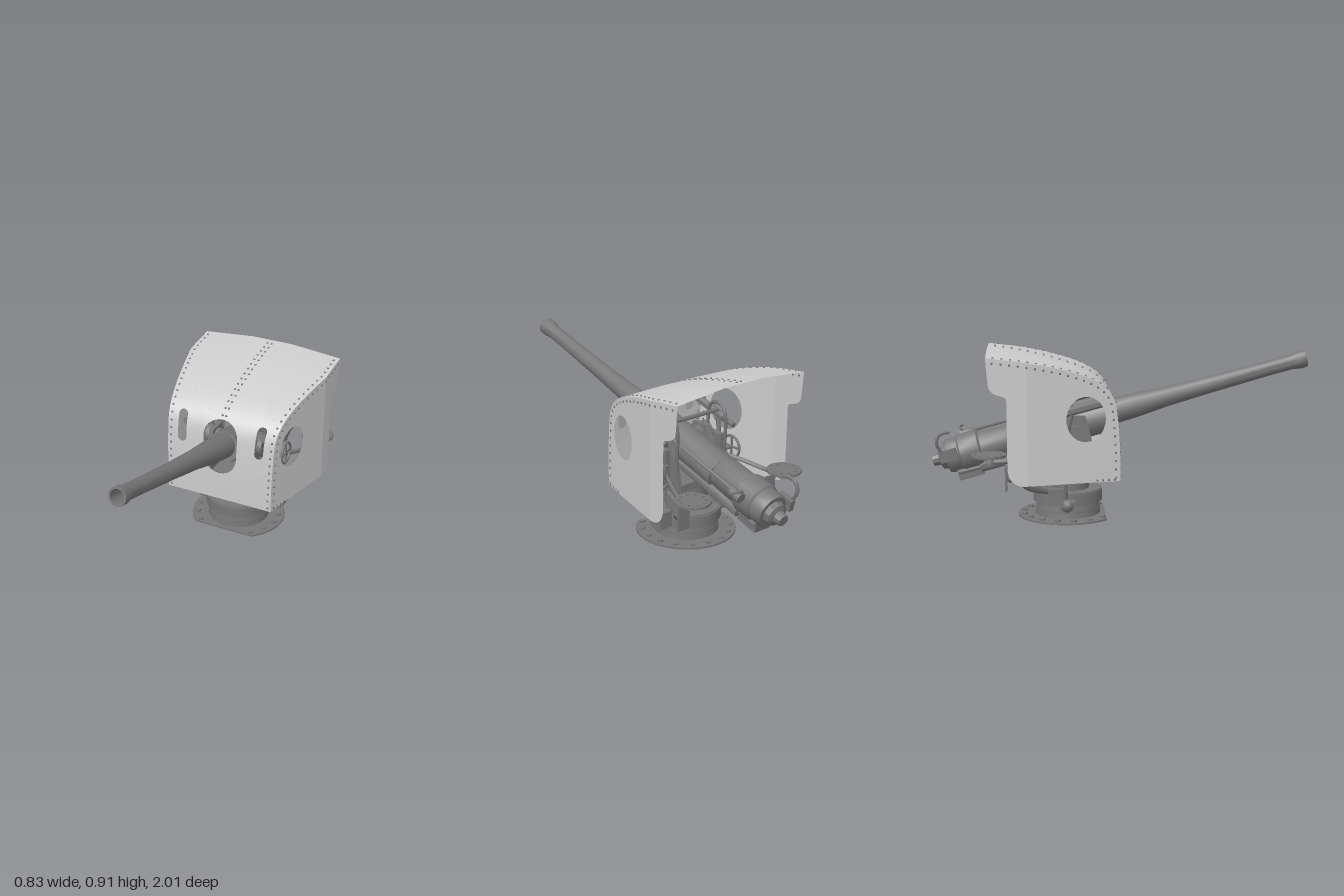
import * as THREE from 'three';
import { mergeGeometries, mergeVertices, toCreasedNormals } from 'three/addons/utils/BufferGeometryUtils.js';

const V = (x, y, z) => new THREE.Vector3(x, y, z);
const plate = new THREE.MeshStandardMaterial({ color: 0xcccccc, side: THREE.DoubleSide });
const metal = new THREE.MeshStandardMaterial({ color: 0x777777, side: THREE.DoubleSide });

function add(group, name, geo, x = 0, y = 0, z = 0, mat = metal) {
  const m = new THREE.Mesh(geo, mat);
  m.name = name;
  m.position.set(x, y, z);
  group.add(m);
  return m;
}
const box = (w, h, d) => new THREE.BoxGeometry(w, h, d);
const cyl = (r, h, n = 12, r2 = r) => toCreasedNormals(new THREE.CylinderGeometry(r, r2, h, n), 0.8);
const cylZ = (r, h, n) => cyl(r, h, n).rotateX(Math.PI / 2);
const cylX = (r, h, n) => cyl(r, h, n).rotateZ(Math.PI / 2);
const pipe = (pts, r, n = 6) => new THREE.TubeGeometry(
  new THREE.CatmullRomCurve3(pts.map(p => V(...p)), false, 'centripetal'), 20, r, n);
// Profile given as [z, y], extruded across x and centred
function profileX(pts, width) {
  const s = new THREE.Shape(pts.map(p => new THREE.Vector2(...p)));
  return new THREE.ExtrudeGeometry(s, { depth: width, bevelEnabled: false })
    .translate(0, 0, -width / 2).rotateY(-Math.PI / 2);
}
// Turned part along z, points as [radius, z]
const turned = (pts, n = 14) => toCreasedNormals(
  new THREE.LatheGeometry(pts.map(p => new THREE.Vector2(...p)), n).rotateX(Math.PI / 2), 0.6);

// Shield form: a side profile swept over a plan that widens to the rear
const profile = new THREE.CatmullRomCurve3([
  [0.24, -0.03], [0.42, -0.033], [0.58, -0.045], [0.66, -0.06], [0.72, -0.10],
  [0.78, -0.19], [0.835, -0.34], [0.88, -0.52], [0.91, -0.70]].map(([y, z]) => V(0, y, z)));
const sweep = profile.getLength(), BOTTOM = 0.24, TOP = BOTTOM + sweep;
const halfWidth = z => Math.min(0.41, 0.31 + 0.1 * (-z - 0.03) / 0.47);
function shieldPoint(x, v) {
  const p = profile.getPointAt(THREE.MathUtils.clamp((v - BOTTOM) / sweep, 0, 1));
  p.x = x * halfWidth(p.z) / 0.31;
  p.y += 0.027 * p.z / 0.7 * Math.max(0, (Math.abs(p.x) - 0.12) / 0.29);
  return p;
}

// Curved front and roof, made of columns that stop at the capsule-shaped openings
function frontPlate() {
  const holes = [[0, 0.098, 0.40, 0.71], [-0.225, 0.025, 0.54, 0.72], [0.225, 0.025, 0.54, 0.72]];
  const cols = [-0.31, -0.28, -0.15, 0.15, 0.28, 0.31];
  for (const [cx, hw] of holes)
    for (let k = 0; k <= 12; k++) cols.push(cx + hw * Math.cos(k * Math.PI / 12));
  cols.sort((a, b) => a - b);
  const pos = [];
  const strip = (xa, xb, a0, a1, b0, b1, n) => {
    for (let i = 0; i < n; i++) {
      const L = THREE.MathUtils.lerp;
      const a = shieldPoint(xa, L(a0, a1, i / n)), b = shieldPoint(xb, L(b0, b1, i / n));
      const c = shieldPoint(xb, L(b0, b1, (i + 1) / n)), d = shieldPoint(xa, L(a0, a1, (i + 1) / n));
      for (const p of [a, b, c, a, c, d]) pos.push(p.x, p.y, p.z);
    }
  };
  for (let i = 0; i < cols.length - 1; i++) {
    const xa = cols[i], xb = cols[i + 1], mid = (xa + xb) / 2;
    if (xb - xa < 1e-6) continue;
    const hole = holes.find(h => Math.abs(mid - h[0]) < h[1]);
    const gap = x => {
      if (!hole) return [0.55, 0.55];
      const [cx, hw, v0, v1] = hole, h = Math.sqrt(Math.max(0, hw * hw - (x - cx) ** 2));
      return [v0 + hw - h, v1 - hw + h];
    };
    const [al, ah] = gap(xa), [bl, bh] = gap(xb);
    strip(xa, xb, BOTTOM, al, BOTTOM, bl, 4);
    strip(xa, xb, ah, TOP, bh, TOP, 24);
  }
  let g = new THREE.BufferGeometry();
  g.setAttribute('position', new THREE.Float32BufferAttribute(pos, 3));
  g = mergeVertices(g, 1e-5);
  g.computeVertexNormals();
  return g;
}

// Side plate: a flat forward part with a round opening and a flat rear part
function sidePlate(side) {
  const edge = [];
  for (let i = 0; i <= 48; i++) edge.push(shieldPoint(0.31, BOTTOM + sweep * i / 48));
  const fore = edge.filter(p => p.z > -0.5), aft = edge.filter(p => p.z <= -0.5);
  const joinY = (fore.at(-1).y + aft[0].y) / 2;
  const a = new THREE.Shape(fore.map(p => new THREE.Vector2(p.z, p.y)));
  a.lineTo(-0.5, joinY); a.lineTo(-0.5, BOTTOM); a.closePath();
  a.holes.push(new THREE.Path().absellipse(-0.205, 0.565, 0.1, 0.115, 0, Math.PI * 2));
  const b = new THREE.Shape().moveTo(-0.5, joinY).lineTo(-0.5, BOTTOM).lineTo(-0.525, BOTTOM);
  b.quadraticCurveTo(-0.595, 0.25, -0.6, 0.33).lineTo(-0.6, 0.67);
  b.bezierCurveTo(-0.6, 0.71, -0.69, 0.68, -0.69, 0.76).lineTo(-0.70, aft.at(-1).y);
  aft.reverse().slice(1).forEach(p => b.lineTo(p.z, p.y));
  const parts = [a, b].map(s => {
    const g = new THREE.ShapeGeometry(s, 16), p = g.attributes.position;
    for (let i = 0; i < p.count; i++) p.setXYZ(i, side * halfWidth(p.getX(i)), p.getY(i), p.getX(i));
    if (side > 0) g.index.array.reverse();
    g.computeVertexNormals();
    return g;
  });
  return mergeGeometries(parts);
}

// Rivet rows along the corner seams, the roof seam and the lower side edge
function rivets() {
  const at = [];
  for (let v = 0.26; v < TOP; v += 0.043) for (const s of [-1, 1]) {
    at.push(shieldPoint(s * 0.292, v));
    const t = profile.getTangentAt((v - BOTTOM) / sweep), p = shieldPoint(0.31, v);
    const z = p.z - 0.022 * t.y;
    at.push(V(s * halfWidth(z), p.y + 0.022 * t.z, z));
    if (v > 0.73) at.push(shieldPoint(s * 0.010, v));
  }
  for (const s of [-1, 1]) for (let i = 0; i < 4; i++) {
    const z = -0.06 - i * 0.03;
    at.push(V(s * halfWidth(z), 0.25, z));
  }
  return mergeGeometries(at.map(p => new THREE.SphereGeometry(0.0065, 6, 4).translate(p.x, p.y, p.z)));
}

function pedestal() {
  const g = new THREE.Group(); g.name = 'pedestal'; g.position.z = -0.29;
  // Round deck plate with a straight front edge
  const cut = Math.acos(0.2 / 0.265), disc = new THREE.Shape();
  disc.absarc(0, 0, 0.265, -Math.PI / 2 + cut, Math.PI * 1.5 - cut, false);
  add(g, 'deckPlate', new THREE.ExtrudeGeometry(disc, { depth: 0.01, bevelEnabled: false, curveSegments: 20 })
    .rotateX(-Math.PI / 2));
  for (let i = 0; i < 14; i++) {
    const a = Math.PI / 2 + 0.72 + i * (2 * Math.PI - 1.44) / 13;
    add(g, 'deckBolt', cyl(0.015, 0.012, 6), 0.233 * Math.cos(a), 0.014, 0.233 * Math.sin(a));
  }
  add(g, 'base', cyl(0.165, 0.08, 24, 0.175), 0, 0.045, 0);
  add(g, 'baseRim', cyl(0.172, 0.008, 24), 0, 0.04, 0);
  add(g, 'turntable', cyl(0.185, 0.06, 24), 0, 0.11, 0);
  add(g, 'turntableRim', cyl(0.178, 0.008, 24), 0, 0.142, 0);
  add(g, 'column', cyl(0.11, 0.16, 16, 0.115), 0, 0.22, 0);
  return g;
}

function gun() {
  const g = new THREE.Group(); g.name = 'gun';
  g.position.set(0, 0.499, -0.25); g.rotation.x = -0.26;
  add(g, 'barrel', turned([[0.07, -0.36], [0.07, 0.22], [0.066, 0.34], [0.054, 0.5], [0.046, 0.75],
    [0.04, 1.1], [0.041, 1.2], [0.049, 1.25], [0.048, 1.28], [0.037, 1.28], [0.034, 1.1], [0, 1.1]]));
  add(g, 'breech', turned([[0, -0.70], [0.085, -0.70], [0.092, -0.68], [0.092, -0.63], [0.102, -0.62],
    [0.102, -0.52], [0.088, -0.51], [0.085, -0.34], [0.07, -0.3]], 16));
  add(g, 'breechScrew', turned([[0, -0.776], [0.03, -0.776], [0.035, -0.74], [0.06, -0.73], [0.065, -0.69]], 10));
  add(g, 'breechLug', box(0.1, 0.07, 0.13), 0, -0.1, -0.6);
  add(g, 'cradle', cylZ(0.092, 0.5, 12), 0, -0.01, -0.08);
  for (const s of [-1, 1]) {
    add(g, 'recoilCylinder', cylZ(0.03, 0.6, 10), s * 0.05, -0.09, -0.24);
    add(g, 'recoilRod', cylZ(0.013, 0.14, 8), s * 0.05, -0.09, -0.59);
  }
  add(g, 'breechHinge', box(0.03, 0.06, 0.09), -0.1, 0.02, -0.68);
  add(g, 'breechLever', pipe([[-0.1, 0.02, -0.7], [-0.115, 0.1, -0.72], [-0.115, 0.14, -0.69], [-0.11, 0.14, -0.64]], 0.009));
  add(g, 'trunnion', cylX(0.04, 0.34, 12), 0, 0, 0);
  // Sight bar with a rear eyepiece
  add(g, 'sightBar', cylZ(0.009, 0.5, 6), 0.15, 0.08, -0.35);
  add(g, 'sightHead', cylZ(0.026, 0.07, 8), 0.15, 0.07, -0.58);
  add(g, 'sightGrip', pipe([[0.15, 0.07, -0.58], [0.15, 0.11, -0.61], [0.22, 0.11, -0.6]], 0.006));
  return g;
}

function carriage() {
  const g = new THREE.Group(); g.name = 'carriage';
  add(g, 'saddle', box(0.26, 0.04, 0.22), 0, 0.29, -0.29);
  add(g, 'crossTube', cylX(0.012, 0.44, 8), 0, 0.61, -0.28);
  for (const s of [-1, 1]) {
    add(g, 'cheek', profileX([[-0.4, 0.26], [-0.18, 0.26], [-0.16, 0.4], [-0.2, 0.55], [-0.3, 0.55], [-0.37, 0.42]], 0.025), s * 0.13, 0, 0);
    add(g, 'bearingCap', cylX(0.055, 0.03, 12), s * 0.155, 0.5, -0.25);
    // Telescopes behind the shield slots, carried on bent posts
    const scope = add(g, 'telescope', cylZ(0.022, 0.24, 6), s * 0.225, 0.605, -0.21);
    scope.rotation.x = -0.26;
    add(g, 'eyepiece', cylZ(0.014, 0.08, 8), s * 0.225, 0.565, -0.36).rotation.x = -0.26;
    add(g, 'sightPost', pipe([[s * 0.15, 0.3, -0.3], [s * 0.2, 0.36, -0.3], [s * 0.22, 0.5, -0.29], [s * 0.225, 0.59, -0.27]], 0.012));
    add(g, 'guardRail', pipe([[s * 0.16, 0.4, -0.4], [s * 0.16, 0.64, -0.4], [s * 0.16, 0.68, -0.36],
      [s * 0.16, 0.66, -0.29], [s * 0.16, 0.46, -0.27]], 0.009));
    add(g, 'gearPanel', box(0.03, 0.17, 0.12), s * 0.185, 0.42, -0.3);
    // Handwheel on a short shaft
    add(g, 'handwheel', new THREE.TorusGeometry(0.06, 0.007, 6, 20).rotateY(Math.PI / 2), s * 0.25, 0.42, -0.36);
    add(g, 'handwheelShaft', cylX(0.01, 0.07, 8), s * 0.22, 0.42, -0.36);
    add(g, 'handwheelSpoke', box(0.008, 0.12, 0.01), s * 0.25, 0.42, -0.36);
    add(g, 'handwheelSpoke', box(0.008, 0.01, 0.12), s * 0.25, 0.42, -0.36);
    // Curved step bracket with its foot plate
    add(g, 'stepArm', pipe([[s * 0.12, 0.16, -0.32], [s * 0.16, 0.165, -0.42], [s * 0.23, 0.20, -0.50],
      [s * 0.28, 0.25, -0.55], [s * 0.29, 0.26, -0.61]], 0.02, 4));
    add(g, 'footPlate', box(0.07, 0.13, 0.012), s * 0.29, 0.26, -0.61);
    add(g, 'columnBracket', profileX([[-0.42, 0.14], [-0.3, 0.14], [-0.3, 0.25], [-0.36, 0.22]], 0.03), s * 0.13, 0, 0);
    // Pierced seat on a long arm
    const pan = new THREE.Shape().absellipse(0, 0, 0.09, 0.09, 0, Math.PI * 2);
    for (let i = 0; i < 10; i++) {
      const a = i * Math.PI / 5;
      pan.holes.push(new THREE.Path().absellipse(0.066 * Math.cos(a), 0.066 * Math.sin(a), 0.009, 0.009, 0, Math.PI * 2));
    }
    add(g, 'seat', new THREE.ExtrudeGeometry(pan, { depth: 0.012, bevelEnabled: false, curveSegments: 8 })
      .rotateX(-Math.PI / 2), s * 0.305, 0.375, -0.695);
    add(g, 'seatStem', cyl(0.015, 0.04, 8, 0.025), s * 0.305, 0.358, -0.69);
    add(g, 'seatArm', pipe([[s * 0.305, 0.345, -0.7], [s * 0.29, 0.35, -0.58], [s * 0.23, 0.38, -0.42], [s * 0.14, 0.41, -0.24]], 0.013));
  }
  // Counterweight box on one side
  add(g, 'ammunitionBox', box(0.075, 0.09, 0.08), 0.225, 0.145, -0.36);
  add(g, 'boxHanger', pipe([[0.24, 0.18, -0.36], [0.24, 0.28, -0.36], [0.15, 0.31, -0.33]], 0.01));
  // Traversing gear on the other side
  add(g, 'traverseGearbox', box(0.11, 0.05, 0.08), -0.185, 0.09, -0.30);
  add(g, 'traverseMotor', new THREE.SphereGeometry(0.034, 10, 8), -0.23, 0.094, -0.30);
  add(g, 'traversePanel', box(0.03, 0.09, 0.08), -0.245, 0.145, -0.36);
  add(g, 'traverseShaft', pipe([[-0.215, 0.1, -0.32], [-0.205, 0.25, -0.32], [-0.185, 0.38, -0.31]], 0.024));
  return g;
}

export function createModel() {
  const model = new THREE.Group(); model.name = 'deckGun';
  const shield = new THREE.Group(); shield.name = 'shield';
  add(shield, 'frontAndRoof', frontPlate(), 0, 0, 0, plate);
  for (const s of [-1, 1]) add(shield, s > 0 ? 'leftSide' : 'rightSide', sidePlate(s), 0, 0, 0, plate);
  add(shield, 'rivets', rivets());
  model.add(pedestal(), carriage(), gun(), shield);
  return model;
}
